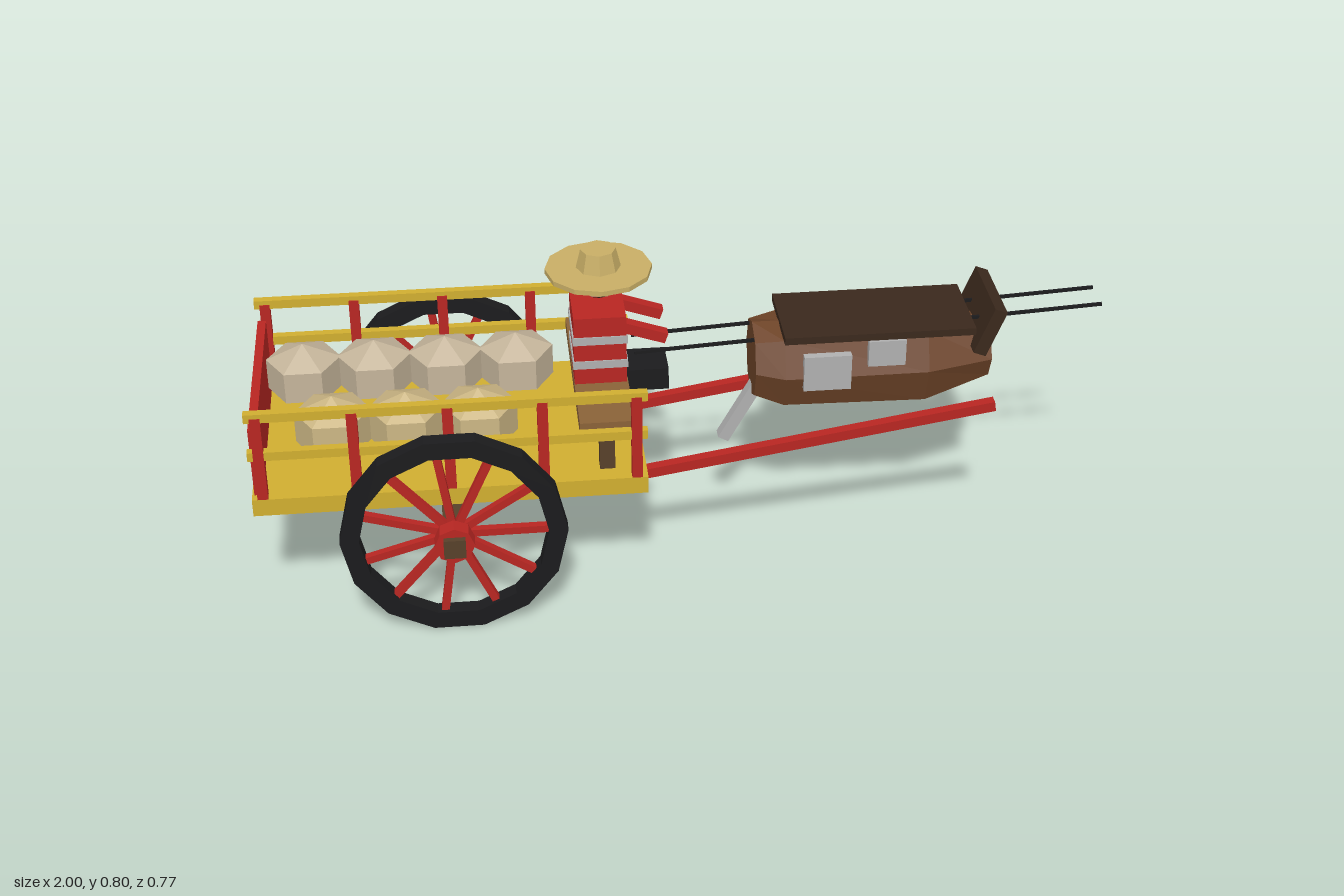
import * as THREE from 'three';

const mat = (color) => new THREE.MeshStandardMaterial({ color, flatShading: true, side: THREE.DoubleSide });
const M = {
  red: mat(0xb82622), yellow: mat(0xd0ae30), black: mat(0x1b1b1d), dark: mat(0x3a281c), hull: mat(0x6e4428),
  wood: mat(0x8a6238), axle: mat(0x57402a), grey: mat(0xb0b0b0), sackA: mat(0xcbb684), sackB: mat(0xc4b49a),
  skin: mat(0xb98a6a), straw: mat(0xc8ae66), beard: mat(0x4a3022),
};

export function createModel() {
  const root = new THREE.Group();
  const add = (name, geo, m, x = 0, y = 0, z = 0, parent = root) => {
    const mesh = new THREE.Mesh(geo, m);
    mesh.name = name;
    mesh.position.set(x, y, z);
    parent.add(mesh);
    return mesh;
  };
  // box given by its limits on each axis
  const box = (name, m, x0, x1, y0, y1, z0, z1) =>
    add(name, new THREE.BoxGeometry(x1 - x0, y1 - y0, z1 - z0), m, (x0 + x1) / 2, (y0 + y1) / 2, (z0 + z1) / 2);
  // square bar between two points in the xy plane
  const bar = (name, m, a, b, z, thick, width) => {
    const dx = b[0] - a[0], dy = b[1] - a[1];
    const mesh = add(name, new THREE.BoxGeometry(Math.hypot(dx, dy), thick, width), m, (a[0] + b[0]) / 2, (a[1] + b[1]) / 2, z);
    mesh.rotation.z = Math.atan2(dy, dx);
    return mesh;
  };

  // Cart bed, tail board, posts and rails
  box('bed', M.yellow, -1, -0.1, 0.303, 0.346, -0.271, 0.271);
  box('tailBoard', M.red, -0.995, -0.975, 0.346, 0.518, -0.25, 0.25);
  for (const s of [-1, 1]) {
    for (let i = 0; i < 5; i++) {
      add('post', new THREE.BoxGeometry(0.024, 0.215, 0.024), M.red, -0.975 + i * 0.2125, 0.4525, s * 0.259);
    }
    for (const y of [0.46, 0.56]) {
      add('rail', new THREE.BoxGeometry(0.9, 0.022, 0.02), M.yellow, -0.55, y, s * 0.26);
    }
    // Shafts
    bar('shaft', M.red, [-0.15, 0.275], [0.73, 0.415], s * 0.153, 0.025, 0.025);
  }

  // Axle and wheels
  box('axle', M.axle, -0.575, -0.525, 0.23, 0.278, -0.383, 0.383);
  const ring = (r) => Array.from({ length: 14 }, (_, i) =>
    new THREE.Vector2(r * Math.cos(i * Math.PI / 7), r * Math.sin(i * Math.PI / 7)));
  const tyreShape = new THREE.Shape(ring(0.26));
  tyreShape.holes.push(new THREE.Path(ring(0.216)));
  const tyreGeo = new THREE.ExtrudeGeometry(tyreShape, { depth: 0.037, bevelEnabled: false });
  for (const z of [0.313, -0.35]) {
    const wheel = new THREE.Group();
    wheel.name = 'wheel';
    wheel.position.set(-0.55, 0.254, z);
    root.add(wheel);
    add('tyre', tyreGeo, M.black, 0, 0, -0.0185, wheel);
    const hub = add('hub', new THREE.CylinderGeometry(0.046, 0.046, 0.038, 8), M.red, 0, 0, 0.037, wheel);
    hub.rotation.x = Math.PI / 2;
    for (let i = 0; i < 11; i++) {
      const a = i * Math.PI * 2 / 11;
      const spoke = add('spoke', new THREE.BoxGeometry(0.225, 0.018, 0.018), M.red,
        0.112 * Math.cos(a), 0.112 * Math.sin(a), 0, wheel);
      spoke.rotation.z = a;
    }
  }

  // Bench
  box('benchSeat', M.wood, -0.253, -0.127, 0.45, 0.484, -0.246, 0.246);
  for (const s of [-1, 1]) {
    add('benchLeg', new THREE.BoxGeometry(0.035, 0.105, 0.035), M.axle, -0.19, 0.398, s * 0.209);
  }

  // Sacks in two staggered rows
  const sackGeo = new THREE.SphereGeometry(0.102, 6, 3);
  sackGeo.scale(1, 0.76, 1);
  for (let i = 0; i < 7; i++) {
    const back = i < 4;
    add('sack', sackGeo, back ? M.sackB : M.sackA,
      back ? -0.885 + i * 0.168 : -0.812 + (i - 4) * 0.167, 0.443, back ? -0.123 : 0.123);
  }

  // Driver
  const dx = -0.187;
  box('torso', M.red, -0.252, -0.13, 0.484, 0.657, -0.072, 0.072);
  for (const y of [0.535, 0.598]) {
    add('shirtStripe', new THREE.BoxGeometry(0.128, 0.02, 0.15), M.grey, -0.191, y, 0);
  }
  for (const s of [-1, 1]) bar('arm', M.red, [-0.15, 0.632], [-0.037, 0.593], s * 0.057, 0.026, 0.028);
  box('legs', M.black, -0.13, -0.03, 0.445, 0.5, -0.05, 0.05);
  const turn = (mesh) => { mesh.rotation.y = Math.PI / 2; return mesh; };
  turn(add('head', new THREE.CylinderGeometry(0.037, 0.037, 0.048, 6), M.skin, dx, 0.715, 0));
  turn(add('beard', new THREE.ConeGeometry(0.037, 0.021, 6).rotateX(Math.PI), M.beard, dx, 0.681, 0));
  add('hatBrim', new THREE.CylinderGeometry(0.124, 0.124, 0.012, 12), M.straw, dx, 0.748, 0);
  add('hatCrown', new THREE.CylinderGeometry(0.041, 0.052, 0.046, 8), M.straw, dx, 0.777, 0);

  // Draught body: octagonal sections lofted along x: [x, centre y, half width, half height]
  const sections = [[0.172, 0.49, 0.085, 0.1], [0.24, 0.484, 0.107, 0.123], [0.58, 0.484, 0.107, 0.132], [0.735, 0.493, 0.08, 0.077]];
  const pos = [], idx = [];
  for (const [x, cy, w, h] of sections) {
    for (let k = 0; k < 8; k++) {
      const a = k * Math.PI / 4;
      pos.push(x, Math.min(cy + h * Math.cos(a), 0.585), w * Math.sin(a));
    }
  }
  for (let s = 0; s < 3; s++) {
    for (let k = 0; k < 8; k++) {
      const a = s * 8 + k, b = s * 8 + (k + 1) % 8;
      idx.push(a, b, b + 8, a, b + 8, a + 8);
    }
  }
  for (let k = 1; k < 7; k++) idx.push(0, k + 1, k, 24, 24 + k, 25 + k);
  const hullGeo = new THREE.BufferGeometry();
  hullGeo.setAttribute('position', new THREE.Float32BufferAttribute(pos, 3));
  hullGeo.setIndex(idx);
  hullGeo.computeVertexNormals();
  add('body', hullGeo, M.hull);
  bar('topCover', M.dark, [0.235, 0.588], [0.685, 0.588], 0, 0.018, 0.216);
  bar('headBoard', M.dark, [0.697, 0.525], [0.742, 0.638], 0, 0.032, 0.214);
  bar('tail', M.grey, [0.105, 0.272], [0.19, 0.425], 0, 0.028, 0.03);
  for (const s of [-1, 1]) {
    add('sidePatch', new THREE.BoxGeometry(0.112, 0.09, 0.02), M.grey, 0.337, 0.5, s * 0.104);
    add('sidePatch', new THREE.BoxGeometry(0.088, 0.066, 0.02), M.grey, 0.477, 0.543, s * 0.1);
    // Reins
    bar('rein', M.black, [-0.11, 0.543], [1, 0.606], s * 0.041, 0.007, 0.007);
  }
  return root;
}
